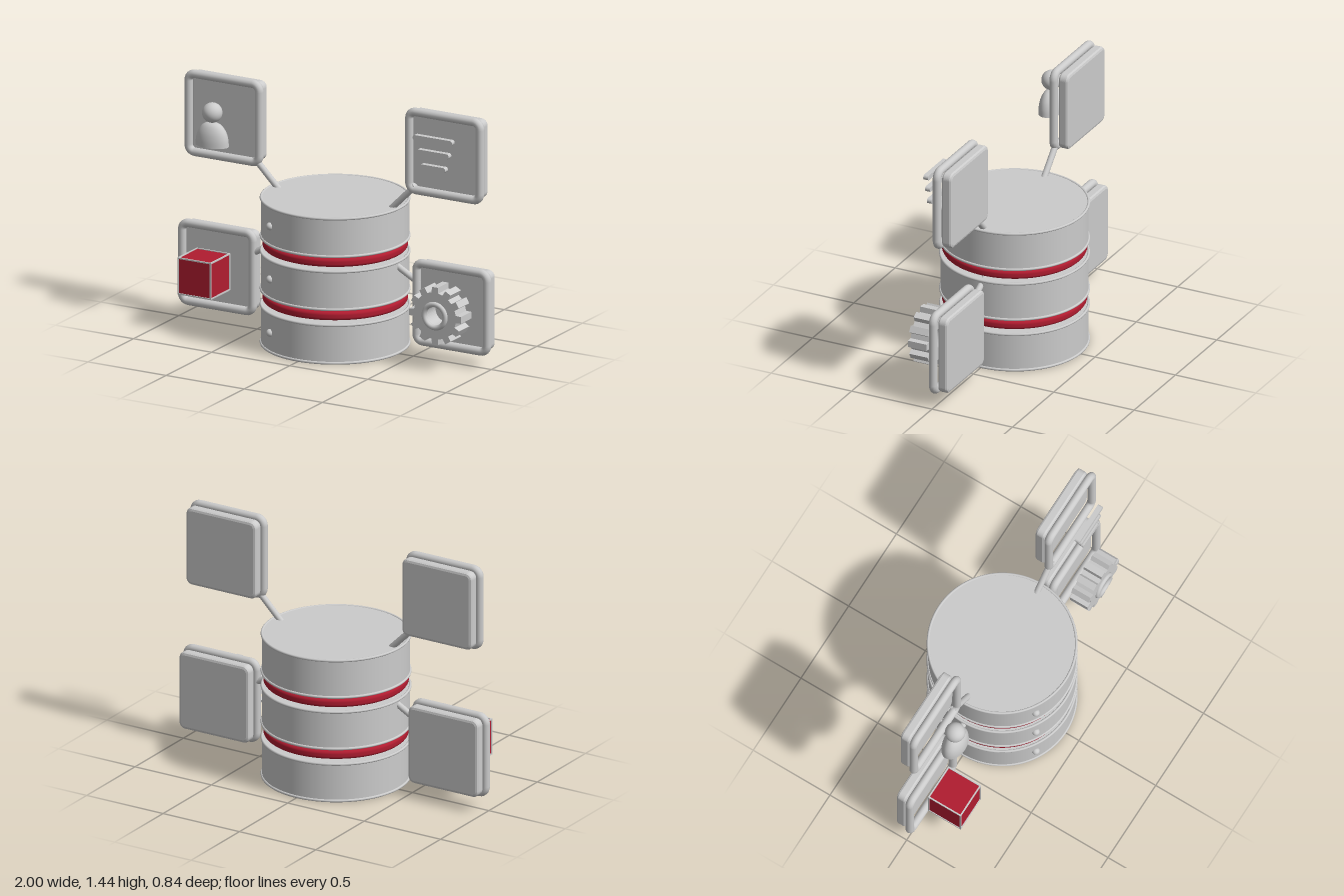
import * as THREE from 'three';

const grey = new THREE.MeshStandardMaterial({ color: 0xcccccc });
const red = new THREE.MeshStandardMaterial({ color: 0xb01c30 });

function add(parent, name, geometry, material = grey, x = 0, y = 0, z = 0) {
  const mesh = new THREE.Mesh(geometry, material);
  mesh.name = name;
  mesh.position.set(x, y, z);
  parent.add(mesh);
  return mesh;
}

function makeGroup(parent, name, x = 0, y = 0, z = 0) {
  const group = new THREE.Group();
  group.name = name;
  group.position.set(x, y, z);
  parent.add(group);
  return group;
}

// Square outline with rounded corners, centred on the origin
function roundedSquare(half, r) {
  const s = new THREE.Shape();
  const c = half - r;
  s.absarc(c, c, r, 0, Math.PI / 2);
  s.absarc(-c, c, r, Math.PI / 2, Math.PI);
  s.absarc(-c, -c, r, Math.PI, Math.PI * 1.5);
  s.absarc(c, -c, r, Math.PI * 1.5, Math.PI * 2);
  s.closePath();
  return s;
}

// Closed path of straight sides and quarter-round corners for the frame tube
function framePath(half, r) {
  const path = new THREE.CurvePath();
  const c = half - r;
  const turn = (x, y, a) => new THREE.Vector3(x * Math.cos(a) - y * Math.sin(a), x * Math.sin(a) + y * Math.cos(a), 0);
  for (let i = 0; i < 4; i++) {
    const a = i * Math.PI / 2;
    path.add(new THREE.LineCurve3(turn(half, -c, a), turn(half, c, a)));
    path.add(new THREE.CubicBezierCurve3(
      turn(half, c, a), turn(half, c + r * 0.552, a), turn(c + r * 0.552, half, a), turn(c, half, a)));
  }
  return path;
}

// Round bar between two points
function rod(parent, name, a, b, radius, sides = 12) {
  const from = new THREE.Vector3(...a), to = new THREE.Vector3(...b);
  const dir = to.clone().sub(from);
  const mesh = add(parent, name, new THREE.CylinderGeometry(radius, radius, dir.length(), sides));
  mesh.position.copy(from).add(to).multiplyScalar(0.5);
  mesh.quaternion.setFromUnitVectors(new THREE.Vector3(0, 1, 0), dir.normalize());
  return mesh;
}

// Drum with rim beads and an indicator stud
function buildDrum(parent, y) {
  const drum = makeGroup(parent, 'drum', 0, y);
  add(drum, 'drumBody', new THREE.CylinderGeometry(0.41, 0.41, 0.224, 96), grey, 0, 0.117, 0);
  for (const rimY of [0.008, 0.226]) {
    add(drum, 'drumRim', new THREE.TorusGeometry(0.41, 0.008, 10, 96), grey, 0, rimY, 0).rotation.x = Math.PI / 2;
  }
  add(drum, 'indicatorStud', new THREE.SphereGeometry(0.022, 20, 14), grey, -0.213, 0.118, 0.352);
}

// Red disc with a rounded edge
function buildBand(parent, y) {
  const r = 0.018, h = 0.025;
  const profile = [new THREE.Vector2(0, -h)];
  for (let i = 0; i <= 6; i++) {
    const a = -Math.PI / 2 + i * Math.PI / 12;
    profile.push(new THREE.Vector2(0.403 - r + r * Math.cos(a), -h + r + r * Math.sin(a)));
  }
  for (let i = 0; i <= 6; i++) {
    const a = i * Math.PI / 12;
    profile.push(new THREE.Vector2(0.403 - r + r * Math.cos(a), h - r + r * Math.sin(a)));
  }
  profile.push(new THREE.Vector2(0, h));
  add(parent, 'redBand', new THREE.LatheGeometry(profile, 96), red, 0, y, 0);
}

// Tile: bevelled backing slab behind a tubular frame
function buildPanel(parent, name, x, y) {
  const panel = makeGroup(parent, name, x, y);
  const slab = new THREE.ExtrudeGeometry(roundedSquare(0.212, 0.022), {
    depth: 0.036, bevelThickness: 0.013, bevelSize: 0.017, bevelSegments: 2, curveSegments: 6,
  });
  add(panel, 'panelSlab', slab, grey, 0, 0, -0.071);
  add(panel, 'panelFrame', new THREE.TubeGeometry(framePath(0.226, 0.04), 160, 0.024, 14, true), grey, 0, 0, 0.005);
  return panel;
}

// Head and shoulders
function buildPerson(panel) {
  const person = makeGroup(panel, 'personIcon', 0, 0, 0.134);
  add(person, 'head', new THREE.SphereGeometry(0.057, 32, 20), grey, 0, 0.065, 0);
  const edge = new THREE.SplineCurve([
    [0.1, 0], [0.097, 0.04], [0.085, 0.08], [0.062, 0.113], [0.034, 0.13], [0, 0.135],
  ].map(p => new THREE.Vector2(...p))).getPoints(20);
  const body = new THREE.LatheGeometry([new THREE.Vector2(0, 0), new THREE.Vector2(0.1, 0), ...edge], 40);
  add(person, 'shoulders', body, grey, 0, -0.124, 0).scale.z = 0.65;
}

// Three bars of decreasing length
function buildLines(panel) {
  [[0.125, 0.246], [0.045, 0.204], [-0.038, 0.16]].forEach(([y, w]) => {
    const bar = new THREE.Shape();
    const c = w / 2 - 0.012;
    bar.absarc(c, 0, 0.015, -Math.PI / 2, Math.PI / 2);
    bar.absarc(-c, 0, 0.015, Math.PI / 2, Math.PI * 1.5);
    bar.closePath();
    add(panel, 'listBar', new THREE.ExtrudeGeometry(bar, { depth: 0.03, bevelEnabled: false, curveSegments: 8 }), grey, 0, y, 0.112);
  });
}

// Red cube with thin edge bars
function buildCube(panel) {
  const cube = makeGroup(panel, 'cubeIcon', 0, 0, 0.156);
  add(cube, 'cubeBody', new THREE.BoxGeometry(0.205, 0.205, 0.205), red);
  const t = 0.008, d = 0.103;
  for (const axis of [0, 1, 2]) {
    const size = [t, t, t];
    size[axis] = 2 * d + t;
    for (const u of [-d, d]) for (const v of [-d, d]) {
      const pos = [0, 0, 0];
      pos[(axis + 1) % 3] = u;
      pos[(axis + 2) % 3] = v;
      add(cube, 'cubeEdge', new THREE.BoxGeometry(...size), grey, ...pos);
    }
  }
}

// Gear with twelve teeth, a through hole and a hub ring
function buildGear(panel) {
  const gear = makeGroup(panel, 'gearIcon');
  const outline = [], teeth = 12;
  for (let i = 0; i < teeth; i++) {
    for (const [offset, r] of [[-0.3, 0.135], [-0.22, 0.167], [0.22, 0.167], [0.3, 0.135]]) {
      const a = Math.PI / 2 + (i + offset) * Math.PI * 2 / teeth;
      outline.push(new THREE.Vector2(r * Math.cos(a), r * Math.sin(a)));
    }
  }
  const shape = new THREE.Shape(outline);
  shape.holes.push(new THREE.Path().absarc(0, 0, 0.062, 0, Math.PI * 2, true));
  add(gear, 'gearWheel', new THREE.ExtrudeGeometry(shape, { depth: 0.115, bevelEnabled: false, curveSegments: 24 }), grey, 0, 0, 0.077);
  add(gear, 'gearHub', new THREE.TorusGeometry(0.067, 0.015, 12, 48), grey, 0, 0, 0.194);
}

export function createModel() {
  const model = new THREE.Group();
  model.name = 'dataStore';

  // Stack of drums separated by red bands
  for (const y of [0, 0.31, 0.617]) buildDrum(model, y);
  for (const y of [0.275, 0.584]) buildBand(model, y);

  // Icon tiles
  buildPerson(buildPanel(model, 'personPanel', -0.709, 1.193));
  buildLines(buildPanel(model, 'listPanel', 0.704, 1.193));
  buildCube(buildPanel(model, 'cubePanel', -0.75, 0.323));
  buildGear(buildPanel(model, 'gearPanel', 0.75, 0.323));

  // Connecting arms
  for (const s of [-1, 1]) {
    rod(model, 'upperArm', [s * 0.515, 0.99, 0.002], [s * 0.35, 0.825, 0.002], 0.018);
    rod(model, 'lowerArm', [s * 0.54, 0.43, 0.002], [s * 0.2, 0.617, 0.002], 0.018);
  }
  return model;
}
